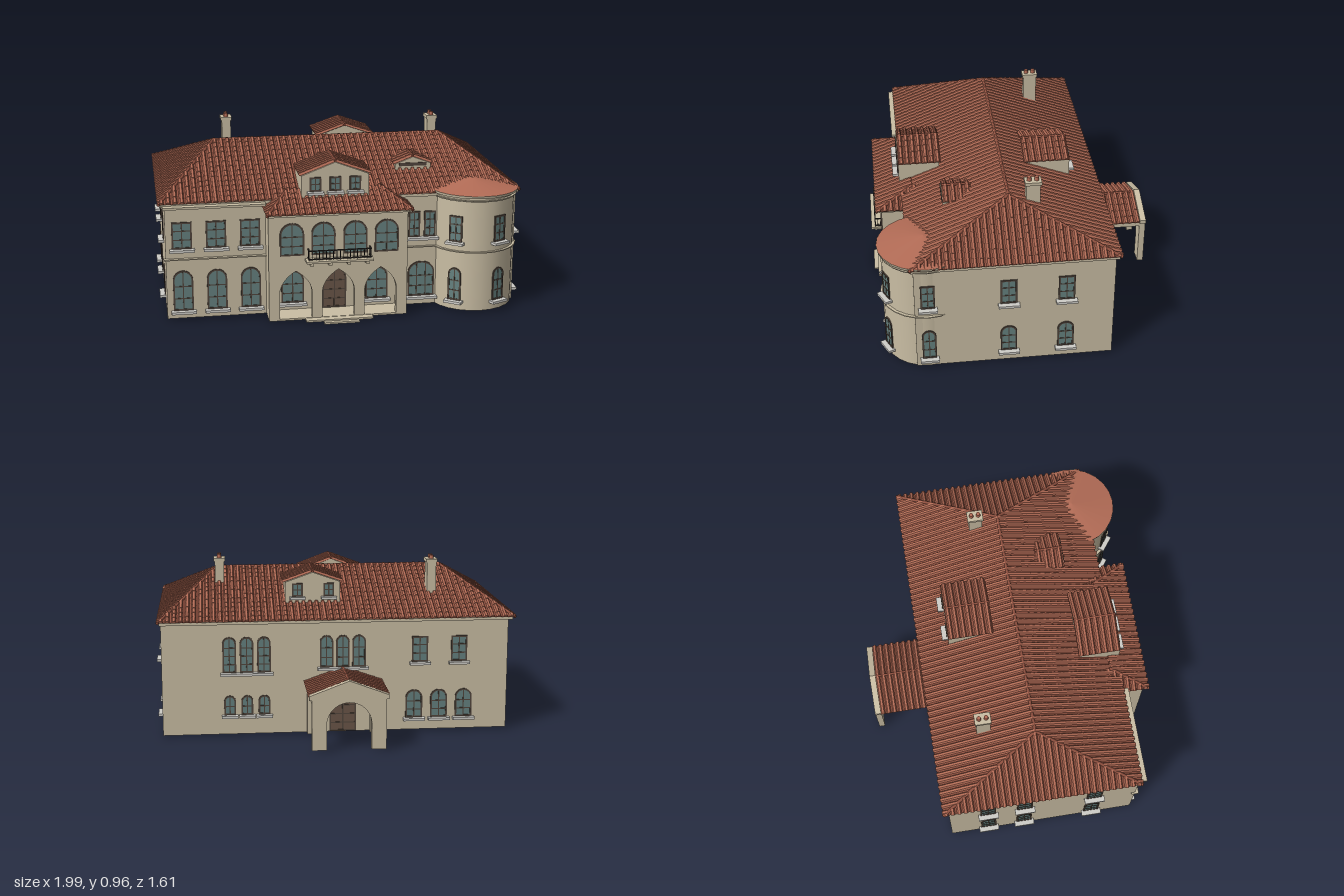
import * as THREE from 'three';

const mat = (name, color, side = THREE.FrontSide) => {
  const m = new THREE.MeshStandardMaterial({ color, side });
  m.name = name;
  return m;
};

export function createModel() {
  const root = new THREE.Group();
  root.name = 'villa';
  const M = {
    wall: mat('stucco', 0xcabea4),
    tile: mat('clay tile', 0xb36c56, THREE.DoubleSide),
    valley: mat('tile valley', 0x8e503f, THREE.DoubleSide),
    glass: mat('glass', 0x668280),
    frame: mat('window frame', 0x51453c),
    door: mat('door wood', 0x6b5648),
    sill: mat('sill stone', 0xcfcdc8),
    iron: mat('iron', 0x2f2b29),
  };
  const add = (name, geo, m, x = 0, y = 0, z = 0, parent = root) => {
    const mesh = new THREE.Mesh(geo, m);
    mesh.name = name;
    mesh.position.set(x, y, z);
    parent.add(mesh);
    return mesh;
  };
  // box given by its extents
  const box = (name, m, x0, x1, y0, y1, z0, z1, parent = root) =>
    add(name, new THREE.BoxGeometry(x1 - x0, y1 - y0, z1 - z0), m, (x0 + x1) / 2, (y0 + y1) / 2, (z0 + z1) / 2, parent);
  const extrude = (shape, depth) =>
    new THREE.ExtrudeGeometry(shape, { depth, bevelEnabled: false, curveSegments: 10 });
  const V3 = (x, y, z) => new THREE.Vector3(x, y, z);

  // opening outline: straight sides, then a round or pointed head of the given rise
  const opening = (P, x, y, w, h, rise, pointed = false) => {
    const p = new P(), s = y + h - rise, r = w / 2;
    p.moveTo(x - r, y);
    p.lineTo(x + r, y);
    p.lineTo(x + r, s);
    if (pointed) {
      p.quadraticCurveTo(x + r * 0.9, s + rise * 0.6, x, y + h);
      p.quadraticCurveTo(x - r * 0.9, s + rise * 0.6, x - r, s);
    } else if (rise > 0) p.absellipse(x, s, r, rise, 0, Math.PI, false);
    else p.lineTo(x - r, s);
    p.closePath();
    return p;
  };

  // window or door: panel, frame ring, glazing bars and sill, facing local +z
  const win = (x, z, ry, y, w, h, { rise = 0, cols = 2, rows = 3, sill = true, panel = M.glass, name = 'window' } = {}) => {
    const g = new THREE.Group();
    g.name = name;
    g.position.set(x, y, z);
    g.rotation.y = ry;
    root.add(g);
    const t = 0.009;
    const ring = opening(THREE.Shape, 0, 0, w, h, rise);
    ring.holes.push(opening(THREE.Path, 0, t, w - 2 * t, h - 2 * t, Math.max(0, rise - t)));
    add('frame', extrude(ring, 0.006), M.frame, 0, 0, 0, g);
    add('panel', extrude(opening(THREE.Shape, 0, 0.003, w - 0.006, h - 0.006, rise), 0.003), panel, 0, 0, 0, g);
    for (let i = 1; i < cols; i++) {
      const bx = -w / 2 + (w * i) / cols;
      const top = h - rise + rise * Math.sqrt(1 - (2 * bx / w) ** 2);
      box('bar', M.frame, bx - 0.003, bx + 0.003, 0, top, 0, 0.005, g);
    }
    for (let i = 1; i < rows; i++) {
      const by = ((h - rise * 0.4) * i) / rows;
      box('bar', M.frame, -w / 2 + 0.003, w / 2 - 0.003, by - 0.003, by + 0.003, 0, 0.005, g);
    }
    if (sill) box('sill', M.sill, -w / 2 - 0.013, w / 2 + 0.013, -0.014, 0, -0.005, 0.033, g);
  };

  // tiled roof slope: eave a to b (left to right from outside), top c (right), d (left)
  const slope = (name, a, b, c, d) => {
    const U = b.clone().sub(a), W = U.length();
    U.normalize();
    const ad = d.clone().sub(a), ul = ad.dot(U), ur = c.clone().sub(a).dot(U);
    const Vv = ad.addScaledVector(U, -ul), H = Vv.length();
    Vv.normalize();
    const N = U.clone().cross(Vv);
    const at = (u, v, n) => a.clone().addScaledVector(U, u).addScaledVector(Vv, v).addScaledVector(N, n);
    const make = pts => {
      const g = new THREE.BufferGeometry().setFromPoints(pts);
      g.computeVertexNormals();
      return g;
    };
    add(name + ' bed', make([a, b, c, a, c, d]), M.valley);
    const pts = [], quad = (p, q, r, s) => pts.push(p, q, r, p, r, s);
    const count = Math.round(W / 0.036), R = 0.0135;
    const prof = [[-R, 0], [-R * 0.5, 0.011], [R * 0.5, 0.011], [R, 0]];
    for (let i = 0; i < count; i++) {
      const u = ((i + 0.5) * W) / count;
      const top = u < ul ? (H * u) / ul : u > ur ? (H * (W - u)) / (W - ur) : H;
      const rows = Math.max(1, Math.round(top / 0.045));
      for (let j = 0; j < rows; j++) {
        const v0 = (top * j) / rows, v1 = (top * (j + 1)) / rows;
        const lo = prof.map(([pu, pn]) => at(u + pu, v0, pn + (pn ? 0.002 : 0)));
        const hi = prof.map(([pu, pn]) => at(u + pu * 0.9, v1, pn));
        for (let k = 0; k < 3; k++) quad(lo[k], lo[k + 1], hi[k + 1], hi[k]);
        quad(lo[0], lo[3], lo[2], lo[1]);
      }
    }
    add(name + ' tiles', make(pts), M.tile);
  };
  const cap = (p, q, r = 0.009) => {
    const dir = q.clone().sub(p), mid = p.clone().add(q).multiplyScalar(0.5);
    const m = add('ridge tiles', new THREE.CylinderGeometry(r, r, dir.length(), 8), M.valley, mid.x, mid.y, mid.z);
    m.quaternion.setFromUnitVectors(V3(0, 1, 0), dir.normalize());
  };
  const gableRoof = (name, x, hw, z0, z1, yE, yA) => {
    slope(name, V3(x - hw, yE, z0), V3(x - hw, yE, z1), V3(x, yA, z1), V3(x, yA, z0));
    slope(name, V3(x + hw, yE, z1), V3(x + hw, yE, z0), V3(x, yA, z0), V3(x, yA, z1));
    cap(V3(x, yA + 0.003, z0), V3(x, yA + 0.003, z1), 0.007);
  };
  const gableWall = (name, x, hw, z0, z1, y0, yE, yA) => {
    const s = new THREE.Shape([[-hw, y0], [hw, y0], [hw, yE], [0, yA], [-hw, yE]].map(p => new THREE.Vector2(...p)));
    add(name, extrude(s, z1 - z0), M.wall, x, 0, z0);
  };

  // main body, left wing and cornice
  box('main walls', M.wall, -0.965, 0.955, 0.01, 0.64, -0.46, 0.6);
  box('wing wall', M.wall, -0.965, -0.43, 0.01, 0.635, 0.59, 0.612);
  box('wing belt', M.wall, -0.975, -0.43, 0.343, 0.349, 0.59, 0.632);
  box('wing cornice', M.wall, -0.975, -0.43, 0.628, 0.64, 0.59, 0.65);
  box('right belt', M.wall, 0.32, 0.55, 0.343, 0.349, 0.59, 0.615);
  box('cornice', M.wall, -0.985, 0.963, 0.632, 0.647, -0.478, 0.612);

  // main hipped roof
  const [x0, x1, z0, z1, yE, yR] = [-0.995, 0.97, -0.49, 0.62, 0.65, 0.864];
  const rl = V3(-0.66, yR, 0.07), rr = V3(0.64, yR, 0.07);
  const fl = V3(x0, yE, z1), fr = V3(x1, yE, z1), bl = V3(x0, yE, z0), br = V3(x1, yE, z0);
  slope('front roof', fl, fr, rr, rl);
  slope('back roof', br, bl, rl, rr);
  slope('right-hand roof', bl, fl, rl, rl);
  slope('left-hand roof', fr, br, rr, rr);
  cap(rl, rr);
  [[fl, rl], [bl, rl], [fr, rr], [br, rr]].forEach(([p, q]) => cap(p, q));

  // round corner tower
  const TX = 0.73, TZ = 0.53, TR = 0.229;
  const disc = (name, m, r0, r1, ya, yb) =>
    add(name, new THREE.CylinderGeometry(r1, r0, yb - ya, 24), m, TX, (ya + yb) / 2, TZ);
  disc('tower wall', M.wall, TR, TR, 0.01, 0.645);
  disc('tower belt', M.wall, TR + 0.015, TR + 0.015, 0.343, 0.349);
  disc('tower cornice', M.wall, TR + 0.008, TR + 0.014, 0.628, 0.638);
  disc('tower eave', M.wall, TR + 0.018, TR + 0.021, 0.65, 0.664);
  disc('tower roof', M.tile, TR + 0.02, 0.001, 0.664, 0.706);
  for (const deg of [-37, 25, 90]) {
    const a = THREE.MathUtils.degToRad(deg), r = TR;
    const x = TX + Math.sin(a) * r, z = TZ + Math.cos(a) * r;
    win(x, z, a, 0.4, 0.075, 0.145);
    win(x, z, a, 0.065, 0.075, 0.185, { rise: 0.0375 });
  }

  // entrance loggia with three pointed arches
  const PX = -0.055;
  const front = opening(THREE.Shape, PX, 0.01, 0.75, 0.59, 0);
  for (const dx of [-0.23, 0, 0.23])
    front.holes.push(opening(THREE.Path, PX + dx, 0.02, 0.175, 0.268, 0.12, true));
  add('loggia front', extrude(front, 0.035), M.wall, 0, 0, 0.705);
  box('loggia upper room', M.wall, -0.43, 0.32, 0.3, 0.6, 0.58, 0.71);
  box('loggia side', M.wall, -0.43, -0.395, 0.01, 0.32, 0.58, 0.72);
  box('loggia side', M.wall, 0.285, 0.32, 0.01, 0.32, 0.58, 0.72);
  box('loggia floor', M.wall, -0.43, 0.32, 0.01, 0.02, 0.58, 0.735);
  box('upper step', M.wall, -0.235, 0.13, 0.008, 0.018, 0.72, 0.78);
  box('lower step', M.wall, -0.14, 0.05, 0, 0.01, 0.72, 0.803);
  win(PX, 0.6, 0, 0.02, 0.132, 0.235, { rise: 0.066, panel: M.door, rows: 4, sill: false, name: 'front door' });
  for (const dx of [-0.23, 0.235]) win(PX + dx, 0.6, 0, 0.06, 0.125, 0.185, { rise: 0.06 });
  for (const x of [-0.305, -0.137, 0.035, 0.205]) win(x, 0.74, 0, 0.375, 0.13, 0.18, { rise: 0.063, sill: false });

  // loggia roof
  const [la, lb, lc, ld] = [V3(-0.44, 0.605, 0.77), V3(0.34, 0.605, 0.77), V3(0.21, 0.685, 0.56), V3(-0.31, 0.685, 0.56)];
  slope('loggia roof', la, lb, lc, ld);
  slope('loggia roof side', V3(-0.44, 0.605, 0.5), la, ld, V3(-0.31, 0.685, 0.5));
  slope('loggia roof side', lb, V3(0.34, 0.605, 0.5), V3(0.21, 0.685, 0.5), lc);
  cap(la, ld);
  cap(lb, lc);
  box('loggia cornice', M.wall, -0.437, 0.327, 0.59, 0.603, 0.6, 0.75);

  // balcony
  box('balcony slab', M.wall, -0.235, 0.125, 0.344, 0.356, 0.73, 0.803);
  for (const x of [-0.205, -0.105, -0.005, 0.095]) box('balcony bracket', M.wall, x - 0.01, x + 0.01, 0.325, 0.345, 0.73, 0.785);
  for (const y of [0.362, 0.408]) {
    box('front rail', M.iron, -0.222, 0.116, y - 0.003, y + 0.003, 0.777, 0.783);
    for (const x of [-0.219, 0.113]) box('side rail', M.iron, x - 0.003, x + 0.003, y - 0.003, y + 0.003, 0.74, 0.783);
  }
  for (let i = 0; i <= 18; i++) {
    const x = -0.219 + (0.332 * i) / 18;
    box('baluster', M.iron, x - 0.002, x + 0.002, 0.356, 0.408, 0.778, 0.782);
  }
  for (const x of [-0.219, 0.113]) for (const z of [0.75, 0.765])
    box('baluster', M.iron, x - 0.002, x + 0.002, 0.356, 0.408, z - 0.002, z + 0.002);

  // front windows
  for (const x of [-0.877, -0.695, -0.513]) {
    win(x, 0.612, 0, 0.402, 0.108, 0.148);
    win(x, 0.612, 0, 0.055, 0.108, 0.225, { rise: 0.054 });
  }
  for (const x of [0.387, 0.474]) win(x, 0.6, 0, 0.402, 0.065, 0.145);
  win(0.43, 0.6, 0, 0.06, 0.148, 0.2, { rise: 0.06, cols: 3 });

  // side windows
  const side = (x, ry, zs) => zs.forEach(z => {
    win(x, z, ry, 0.395, 0.088, 0.15);
    win(x, z, ry, 0.078, 0.088, 0.162, { rise: 0.04 });
  });
  side(0.955, Math.PI / 2, [0.104, -0.203]);
  side(-0.965, -Math.PI / 2, [0.37, -0.03, -0.24]);

  // back windows and door
  const back = (x, y, w, h, o) => win(x, -0.46, Math.PI, y, w, h, o);
  for (const x of [0.585, 0.49, 0.395]) {
    back(x, 0.36, 0.075, 0.2, { rise: 0.037, rows: 4 });
    back(x, 0.12, 0.065, 0.11, { rise: 0.032, rows: 2 });
  }
  for (const x of [0.05, -0.04, -0.13]) back(x, 0.38, 0.075, 0.18, { rise: 0.037 });
  for (const x of [-0.47, -0.69]) back(x, 0.4, 0.09, 0.145);
  for (const x of [-0.44, -0.58, -0.72]) back(x, 0.08, 0.095, 0.16, { rise: 0.045 });
  back(-0.04, 0.012, 0.15, 0.23, { rise: 0.075, panel: M.door, rows: 4, sill: false, name: 'back door' });

  // back porch: arched gate wall, posts, beams and roof
  const gate = new THREE.Shape();
  gate.moveTo(-0.2, 0.01);
  gate.lineTo(-0.12, 0.01);
  gate.lineTo(-0.12, 0.15);
  gate.absellipse(0, 0.15, 0.12, 0.12, Math.PI, 0, true);
  [[0.12, 0.01], [0.2, 0.01], [0.2, 0.285], [0.213, 0.285], [0.213, 0.308], [0, 0.388], [-0.213, 0.308], [-0.213, 0.285], [-0.2, 0.285]]
    .forEach(p => gate.lineTo(...p));
  add('porch gate wall', extrude(gate, 0.035), M.wall, -0.04, 0, -0.805);
  for (const s of [-1, 1]) {
    const x = -0.04 + s * 0.175;
    box('porch post', M.wall, x - 0.025, x + 0.025, 0.01, 0.27, -0.5, -0.455);
    box('porch beam', M.wall, x - 0.025, x + 0.025, 0.262, 0.296, -0.78, -0.455);
  }
  gableRoof('porch roof', -0.04, 0.215, -0.775, -0.46, 0.296, 0.372);

  // front dormer
  gableWall('front dormer wall', PX, 0.183, 0.4, 0.63, 0.62, 0.778, 0.848);
  gableRoof('front dormer roof', PX, 0.193, 0.39, 0.629, 0.778, 0.85);
  for (const dx of [-0.108, 0, 0.108]) win(PX + dx, 0.63, 0, 0.692, 0.062, 0.078, { rows: 2 });

  // low eyebrow dormer
  gableWall('small dormer wall', 0.418, 0.1, 0.28, 0.41, 0.7, 0.766, 0.804);
  gableRoof('small dormer roof', 0.418, 0.108, 0.25, 0.409, 0.765, 0.806);
  box('small dormer vent', M.frame, 0.34, 0.496, 0.754, 0.772, 0.408, 0.414);

  // back dormer
  gableWall('back dormer wall', 0.115, 0.153, -0.317, -0.08, 0.68, 0.833, 0.887);
  gableRoof('back dormer roof', 0.115, 0.167, -0.317, -0.06, 0.832, 0.89);
  for (const x of [0.025, 0.2]) win(x, -0.317, Math.PI, 0.752, 0.06, 0.075, { rows: 2 });

  // chimneys with two clay pots each
  for (const [x, z] of [[-0.567, -0.203], [0.628, -0.062]]) {
    box('chimney', M.wall, x - 0.026, x + 0.026, 0.7, 0.925, z - 0.038, z + 0.038);
    box('chimney cap', M.wall, x - 0.032, x + 0.032, 0.922, 0.94, z - 0.045, z + 0.045);
    for (const dz of [-0.02, 0.02])
      add('chimney pot', new THREE.CylinderGeometry(0.011, 0.013, 0.022, 10), M.tile, x, 0.95, z + dz);
  }
  return root;
}
